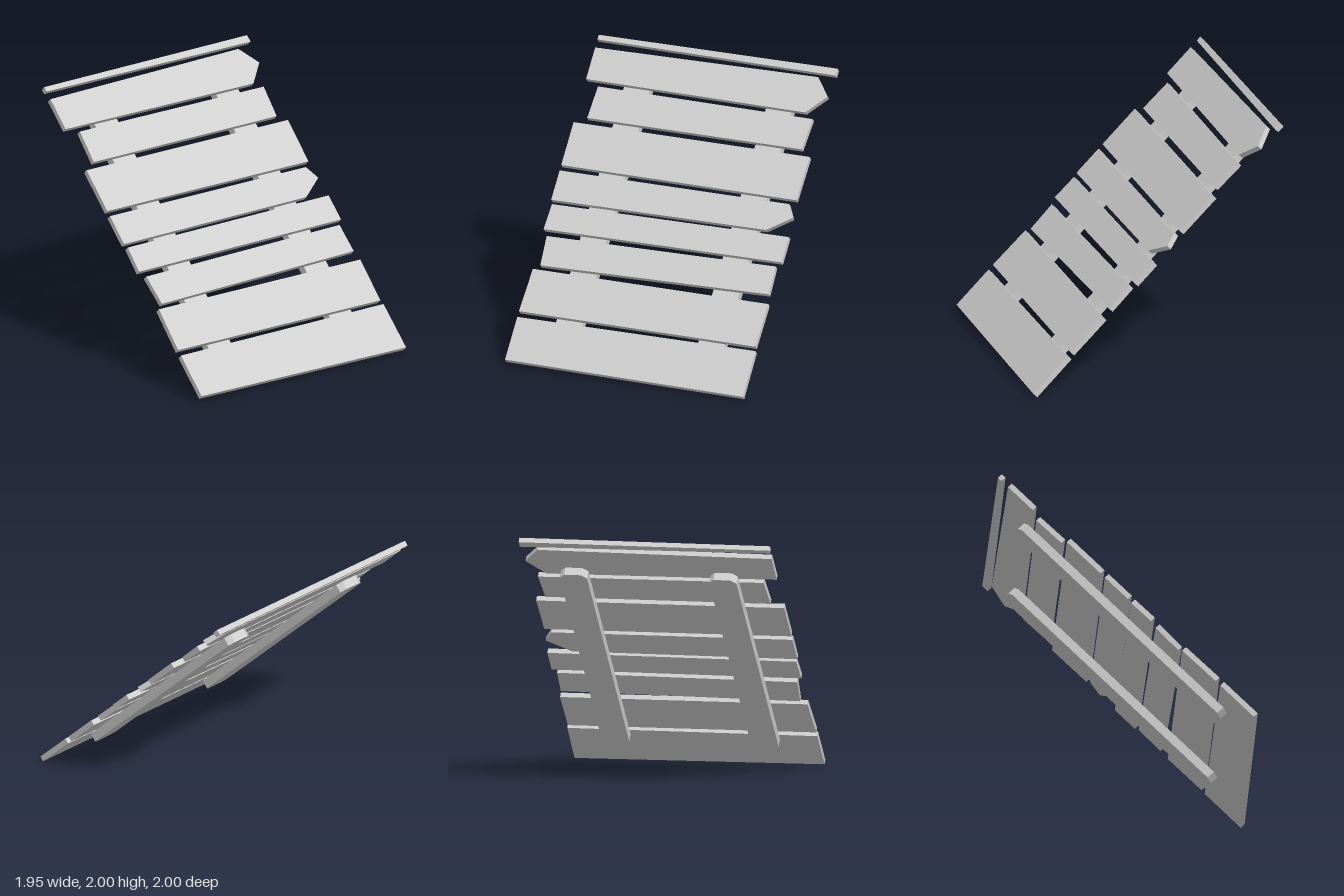
import * as THREE from 'three';

const SLOPE = Math.PI / 4;
const TOP = 0.728;         // distance of the plank faces along the panel normal
const PLANK = 0.042;       // plank thickness
const BATTEN = 0.068;      // batten thickness

// Plank outlines as [x, height of that corner on the face], counter-clockwise
const PLANKS = [
  [[-0.975, 0.055], [0.972, 0.033], [0.968, 0.307], [-0.975, 0.311]],
  [[-0.975, 0.345], [0.958, 0.332], [0.962, 0.588], [-0.962, 0.6]],
  [[-0.912, 0.626], [0.944, 0.644], [0.936, 0.81], [-0.928, 0.8]],
  [[-0.968, 0.837], [0.972, 0.838], [0.972, 0.99], [-0.96, 0.988]],
  [[-0.975, 1.012], [0.775, 1.012], [0.96, 1.103], [0.9, 1.18], [-0.975, 1.188]],
  [[-0.975, 1.22], [0.947, 1.208], [0.953, 1.468], [-0.975, 1.477]],
  [[-0.878, 1.512], [0.873, 1.505], [0.89, 1.688], [-0.865, 1.702]],
  [[-0.975, 1.735], [0.817, 1.72], [0.957, 1.828], [0.838, 1.934], [-0.975, 1.924]],
  [[-0.975, 1.972], [0.972, 1.957], [0.972, 1.998], [-0.975, 2]],
];

function slab(points, depth, z, material, name) {
  const shape = new THREE.Shape(points.map(([x, y]) => new THREE.Vector2(x, y)));
  const geometry = new THREE.ExtrudeGeometry(shape, { depth, bevelEnabled: false });
  geometry.translate(0, 0, z);
  const mesh = new THREE.Mesh(geometry, material);
  mesh.name = name;
  return mesh;
}

export function createModel() {
  const model = new THREE.Group();
  model.name = 'plankPanel';
  const wood = new THREE.MeshStandardMaterial({ color: 0xcccccc });
  wood.name = 'plainGrey';

  // Everything is laid out flat, then leaned back
  const panel = new THREE.Group();
  panel.name = 'leaningPanel';
  panel.rotation.x = -SLOPE;
  model.add(panel);

  // Uneven planks, two with pointed ends
  PLANKS.forEach((outline, i) => {
    const flat = outline.map(([x, h]) => [x, h * Math.SQRT2 - TOP]);
    panel.add(slab(flat, PLANK, TOP - PLANK, wood, `plank${i + 1}`));
  });

  // Two battens behind, with clipped corners
  const w = 0.106, low = -0.39, high = 1.79, cx = 0.04, cy = 0.04;
  const outline = [
    [-w, low + cy], [-w + cx, low], [w - cx, low], [w, low + cy],
    [w, high - cy], [w - cx, high], [-w + cx, high], [-w, high - cy],
  ];
  for (const [name, x] of [['leftBatten', 0.59], ['rightBatten', -0.57]]) {
    const batten = slab(outline, BATTEN, TOP - PLANK - BATTEN, wood, name);
    batten.position.x = x;
    panel.add(batten);
  }
  return model;
}
